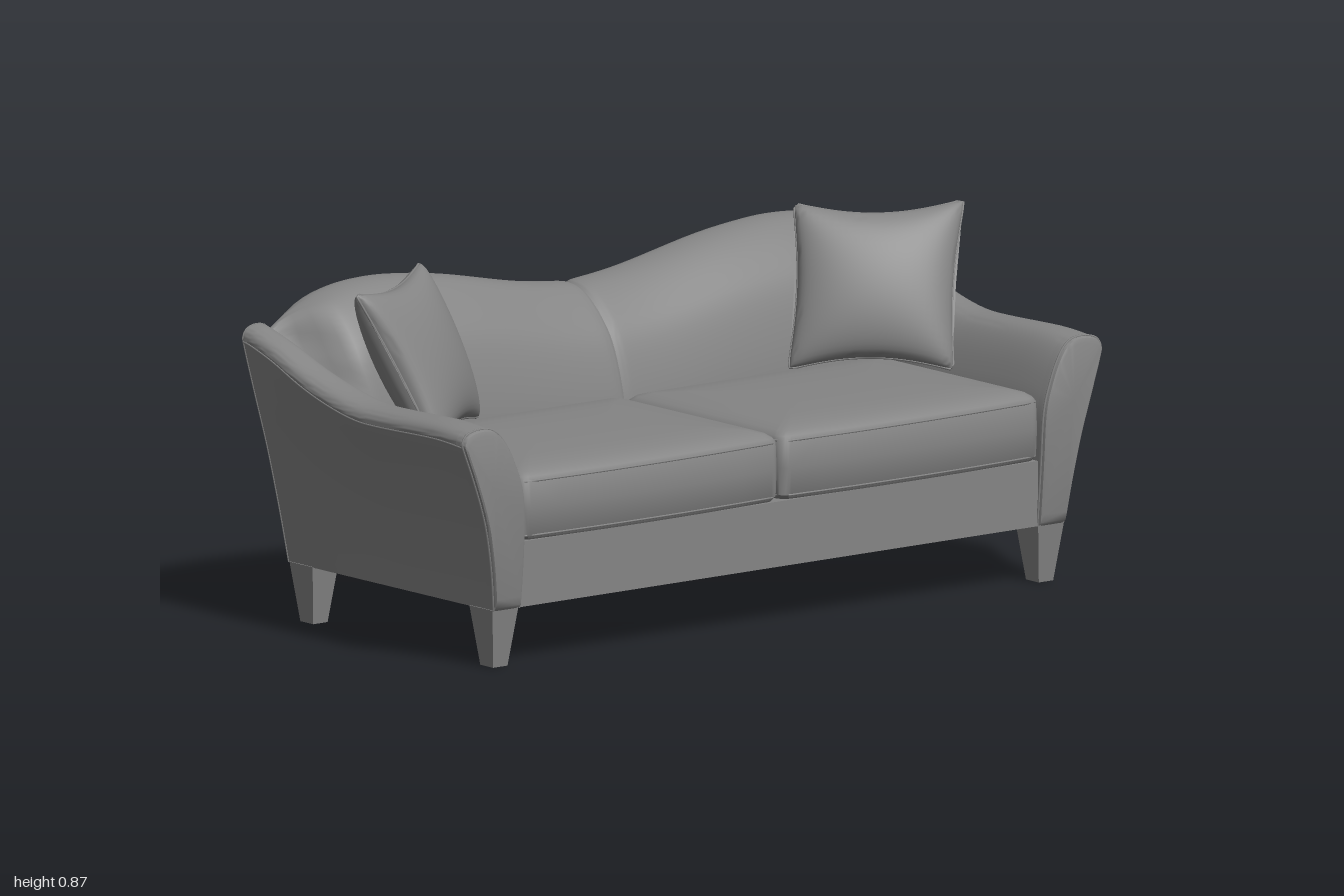
import * as THREE from 'three';
import { toCreasedNormals } from 'three/addons/utils/BufferGeometryUtils.js';

const { lerp, smoothstep, clamp } = THREE.MathUtils;
const material = new THREE.MeshStandardMaterial({ color: 0x848484 });
const spline = (pts) => new THREE.SplineCurve(pts.map(([a, b]) => new THREE.Vector2(a, b)));

function add(parent, name, geometry) {
  const mesh = new THREE.Mesh(geometry, material);
  mesh.name = name;
  parent.add(mesh);
  return mesh;
}

// Skin closed rings of [x, y, z] points, cap both ends, and face outwards.
function loft(rings, crease = 0.7) {
  const n = rings[0].length, last = rings.length - 1;
  const pos = rings.flat(2), index = [];
  for (let i = 0; i < last; i++) {
    for (let j = 0; j < n; j++) {
      const a = i * n + j, b = i * n + (j + 1) % n;
      index.push(a, b, a + n, b, b + n, a + n);
    }
  }
  for (const i of [0, last]) {
    const c = pos.length / 3;
    for (let k = 0; k < 3; k++) pos.push(rings[i].reduce((s, p) => s + p[k], 0) / n);
    for (let j = 0; j < n; j++) {
      const a = i * n + j, b = i * n + (j + 1) % n;
      if (i === 0) index.push(c, b, a); else index.push(c, a, b);
    }
  }
  // The sign of the enclosed volume tells whether the faces point inwards.
  const v = (i) => new THREE.Vector3().fromArray(pos, i * 3);
  let volume = 0;
  for (let i = 0; i < index.length; i += 3) {
    volume += v(index[i]).dot(v(index[i + 1]).cross(v(index[i + 2])));
  }
  if (volume < 0) index.reverse();
  const g = new THREE.BufferGeometry();
  g.setAttribute('position', new THREE.Float32BufferAttribute(pos, 3));
  g.setIndex(index);
  return toCreasedNormals(g, crease);
}

function piping(points, closed, radius = 0.003) {
  const curve = new THREE.CatmullRomCurve3(points.map((p) => new THREE.Vector3(...p)), closed);
  return new THREE.TubeGeometry(curve, points.length * 2, radius, 6, closed);
}

// Flared arm: a scrolled section swept front to back while its top rises.
function addArm(parent, side) {
  const full = spline([[0.89, 0.145], [0.905, 0.25], [0.93, 0.37], [0.965, 0.48], [0.993, 0.56],
    [0.997, 0.582], [0.98, 0.602], [0.94, 0.61], [0.9, 0.602], [0.868, 0.57], [0.838, 0.51],
    [0.815, 0.43], [0.81, 0.3], [0.81, 0.145]]).getPoints(52);
  // Between its end panels the arm is open below the seat.
  const hollow = full.filter((q, i) => i < 30 || q.y > 0.299)
    .concat(new THREE.Vector2(0.885, 0.3), new THREE.Vector2(0.882, 0.145));
  const tops = spline([[0.41, 0.605], [0.3, 0.612], [0.1, 0.607], [0, 0.61], [-0.1, 0.63],
    [-0.2, 0.662], [-0.3, 0.705], [-0.38, 0.732], [-0.41, 0.738]]);
  const ring = (section, t, inset = 0, push = 0) => {
    const p = tops.getPoint(t), k = (0.41 - p.x) / 0.82;
    return section.map((q) => {
      const sx = lerp(q.x, 0.9, inset), sy = lerp(q.y, 0.45, inset);
      const y = sy + (p.y - 0.61) * clamp((sy - 0.145) / 0.42, 0, 1);
      const narrow = 0.25 * smoothstep(k, 0.5, 1) * clamp((sy - 0.145) / 0.4, 0, 1);
      const front = 0.41 + 0.018 * Math.sin(Math.PI * clamp((y - 0.145) / 0.56, 0, 1));
      const back = -0.387 - 0.045 * clamp((y - 0.145) / 0.57, 0, 1);
      return [side * (1 - (1 - sx) * (1 - narrow)), y, lerp(front, back, k) + push];
    });
  };
  const sweep = (section, from, to, steps) => Array.from({ length: steps + 1 },
    (_, i) => ring(section, lerp(from, to, i / steps)));
  const arm = new THREE.Group();
  arm.name = side > 0 ? 'leftArm' : 'rightArm';
  parent.add(arm);
  add(arm, 'armBody', loft(sweep(hollow, 0.04, 0.96, 30)));
  add(arm, 'armFrontPanel', loft([ring(full, 0, 0.1, 0.012), ring(full, 0, 0.03, 0.009),
    ...sweep(full, 0, 0.04, 2)]));
  add(arm, 'armBackPanel', loft([...sweep(full, 0.96, 1, 2), ring(full, 1, 0.04, -0.004)]));
  add(arm, 'armFrontPiping', piping(ring(full, 0), false));
  add(arm, 'armBackPiping', piping(ring(full, 1), false, 0.002));
  add(arm, 'armSidePiping', piping(sweep(full, 0, 1, 32).map((r) => r[17]), false));
}

// Half of the camel-shaped back, from the centre seam to the arm.
function addBackHalf(parent, side) {
  const section = spline([[-0.386, 0.145], [-0.407, 0.45], [-0.428, 0.72], [-0.433, 0.79],
    [-0.424, 0.812], [-0.385, 0.815], [-0.34, 0.8], [-0.285, 0.752], [-0.233, 0.68],
    [-0.196, 0.57], [-0.175, 0.45], [-0.17, 0.3], [-0.17, 0.145]]).getPoints(48);
  const tops = spline([[0, 0.73], [0.1, 0.74], [0.2, 0.756], [0.4, 0.797], [0.55, 0.816],
    [0.65, 0.819], [0.74, 0.81], [0.83, 0.783], [0.92, 0.725]]);
  const rings = [];
  for (let i = 0; i <= 40; i++) {
    const p = tops.getPoint((i / 40) ** 1.5), u = p.x / 0.92;
    const seam = 0.007 * Math.exp(-Math.abs(p.x) / 0.008);
    const end = smoothstep(u, 0.85, 1);
    rings.push(section.map((q) => {
      const y = 0.145 + (q.y - 0.145) * (p.y - seam - 0.145) / 0.67;
      const reach = 0.825 + 0.1 * clamp((y - 0.2) / 0.45, 0, 1);
      const z = lerp(q.x, -0.31, seam * 5);
      return [side * u * reach, y, lerp(z, -0.42, 0.8 * end * clamp((y - 0.5) / 0.2, 0, 1))];
    }));
  }
  add(parent, side > 0 ? 'backLeft' : 'backRight', loft(rings));
}

// Seat cushion: rounded rectangle outlines stacked upwards with a crowned top.
function addSeatCushion(parent, side) {
  const outline = (inset, y) => {
    const w = 0.406 - inset, d = 0.312 - inset, r = Math.max(0.03 - inset * 0.2, 0.01), pts = [];
    for (const [sx, sz, a0] of [[1, 1, 0], [-1, 1, 1], [-1, -1, 2], [1, -1, 3]]) {
      for (let i = 0; i <= 6; i++) {
        const a = (a0 + i / 6) * Math.PI / 2;
        pts.push([sx * (w - r) + r * Math.cos(a), sz * (d - r) + r * Math.sin(a)]);
      }
      // Extra points let the long front and back edges bow gently.
      if (sz === 1 && sx === 1) for (let i = 1; i < 8; i++) pts.push([(w - r) * (1 - i / 4), d]);
      if (sz === -1 && sx === -1) for (let i = 1; i < 8; i++) pts.push([(w - r) * (i / 4 - 1), -d]);
    }
    return pts.map(([x, z]) => [side * (0.407 + x), y,
      0.108 + z + (z > 0 ? 0.014 * (1 - (x / w) ** 2) * z / d : 0)]);
  };
  const layers = [[0.03, 0.306], [0.008, 0.311], [0, 0.322], [-0.002, 0.39], [0, 0.457], [0.006, 0.467],
    [0.02, 0.477], [0.05, 0.486], [0.12, 0.492], [0.22, 0.495]];
  const cushion = new THREE.Group();
  cushion.name = side > 0 ? 'leftSeatCushion' : 'rightSeatCushion';
  parent.add(cushion);
  add(cushion, 'cushionBody', loft(layers.map(([i, y]) => outline(i, y))));
  for (const y of [0.322, 0.457]) add(cushion, 'cushionPiping', piping(outline(0.001, y), true));
}

// Throw pillow leaning into the corner: four soft corners, concave edges, domed faces.
function addPillow(parent, side) {
  const V = (x, y, z) => new THREE.Vector3(x, y, z);
  const bottomIn = V(0.48, 0.485, -0.155), bottomOut = V(0.808, 0.48, 0.092);
  const topIn = V(0.582, 0.876, -0.26), topOut = V(0.957, 0.872, -0.05);
  const normal = V(-0.504, 0.42, 0.747).normalize();
  const point = (a, b, t) => {
    const corner = 0.035 * (a * b) ** 8;
    const s = 0.5 + 0.5 * a * (1 - 0.09 * (1 - b * b) - corner);
    const h = 0.5 + 0.5 * b * (1 - 0.16 * (1 - a * a) - corner);
    const p = bottomIn.clone().lerp(bottomOut, s).lerp(topIn.clone().lerp(topOut, s), h);
    p.addScaledVector(normal, t);
    return [side * p.x, p.y, p.z];
  };
  const rings = [];
  for (let i = 0; i <= 28; i++) {
    const f = Math.PI * i / 28, ring = [];
    for (let j = 0; j < 48; j++) {
      const q = Math.PI * 2 * j / 48, s = Math.sin(q);
      // The rear face is fuller than the front one.
      const dome = (s > 0 ? 0.075 : 0.095) * Math.sign(s) * Math.abs(s * Math.sin(f)) ** 0.8;
      ring.push(point(-Math.cos(f), Math.cos(q), dome));
    }
    rings.push(ring);
  }
  const edge = [];
  for (const [a, b, da, db] of [[-1, -1, 1, 0], [1, -1, 0, 1], [1, 1, -1, 0], [-1, 1, 0, -1]]) {
    for (let i = 0; i < 12; i++) edge.push(point(a + da * i / 6, b + db * i / 6, 0));
  }
  const pillow = new THREE.Group();
  pillow.name = side > 0 ? 'leftPillow' : 'rightPillow';
  parent.add(pillow);
  add(pillow, 'pillowBody', loft(rings, 1.2));
  add(pillow, 'pillowPiping', piping(edge, true));
}

export function createModel() {
  const sofa = new THREE.Group();
  sofa.name = 'sofa';
  const box = (name, w, h, d, x, y, z) =>
    add(sofa, name, new THREE.BoxGeometry(w, h, d)).position.set(x, y, z);

  // Open-bottomed base frame
  box('frontRail', 1.64, 0.162, 0.025, 0, 0.227, 0.4);
  box('seatDeck', 1.64, 0.012, 0.6, 0, 0.302, 0.1);
  box('centreBeam', 0.025, 0.025, 0.58, 0, 0.285, 0.1);

  for (const side of [1, -1]) {
    addArm(sofa, side);
    addBackHalf(sofa, side);
    addSeatCushion(sofa, side);
    addPillow(sofa, side);
    // Square tapered legs
    for (const [name, z] of [['frontLeg', 0.365], ['backLeg', -0.335]]) {
      const leg = new THREE.CylinderGeometry(0.09 / Math.SQRT2, 0.05 / Math.SQRT2, 0.147, 4, 1);
      leg.rotateY(Math.PI / 4).scale(0.9, 1, 1);
      add(sofa, name, toCreasedNormals(leg, 0.5)).position.set(side * 0.853, 0.0735, z);
    }
  }
  return sofa;
}
